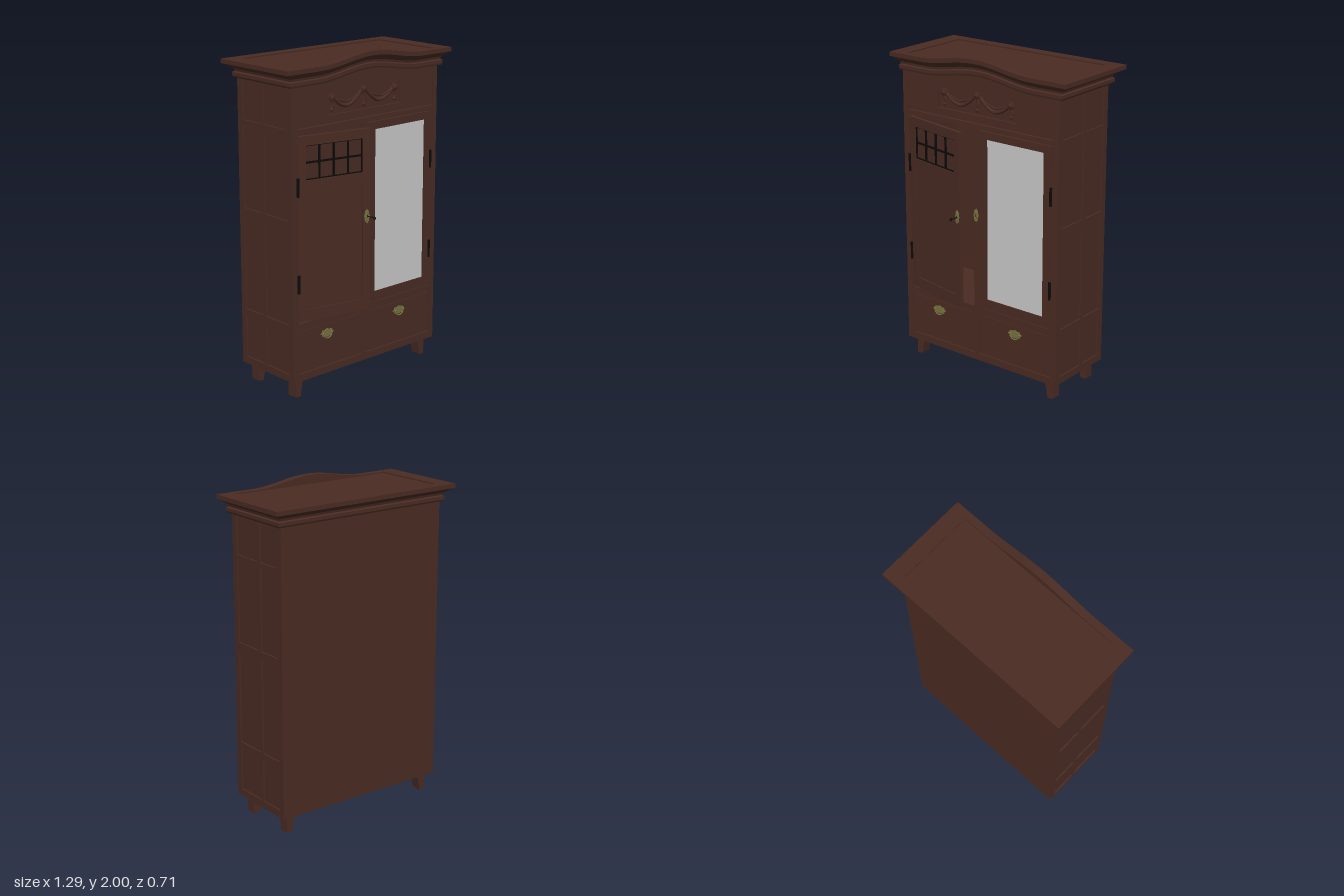
import * as THREE from 'three';

const mat = (name, color, side = THREE.FrontSide) => {
  const m = new THREE.MeshStandardMaterial({ color, side });
  m.name = name;
  return m;
};

export function createModel() {
  const wood = mat('dark wood', 0x4a2c23);
  const iron = mat('black iron', 0x0c0a09);
  const brass = mat('aged brass', 0x77723f);
  const glass = mat('mirror glass', 0xcbcbcb);
  const model = new THREE.Group();
  model.name = 'wardrobe';

  const add = (name, geo, m, parent = model) => {
    const mesh = new THREE.Mesh(geo, m);
    mesh.name = name;
    parent.add(mesh);
    return mesh;
  };
  // Box given by its limits on each axis
  const box = (name, x0, x1, y0, y1, z0, z1, m = wood, parent = model) => {
    const mesh = add(name, new THREE.BoxGeometry(x1 - x0, y1 - y0, z1 - z0), m, parent);
    mesh.position.set((x0 + x1) / 2, (y0 + y1) / 2, (z0 + z1) / 2);
    return mesh;
  };
  // Flat board with rectangular holes; rectangles are [x0, x1, y0, y1]
  const trace = (path, [x0, x1, y0, y1]) => {
    path.moveTo(x0, y0);
    path.lineTo(x1, y0);
    path.lineTo(x1, y1);
    path.lineTo(x0, y1);
    path.closePath();
    return path;
  };
  const board = (outer, holes, depth) => {
    const s = trace(new THREE.Shape(), outer);
    holes.forEach(h => s.holes.push(trace(new THREE.Path(), h)));
    return new THREE.ExtrudeGeometry(s, { depth, bevelEnabled: false });
  };

  // Carcass
  const L = -0.585, R = 0.567;
  box('backPanel', L, R, 0.11, 1.93, -0.285, -0.27);
  box('floor', L, R, 0.11, 0.13, -0.284, 0.165);
  box('drawerCase', L + 0.02, R - 0.02, 0.12, 0.455, -0.28, 0.17);
  box('friezeCase', L + 0.02, R - 0.02, 1.59, 1.945, -0.28, 0.172);
  const openings = [
    [-0.54, -0.045, 0.155, 0.42], [-0.01, 0.53, 0.155, 0.42],
    [-0.537, -0.045, 0.465, 1.58], [0, 0.52, 0.465, 1.58],
    [-0.54, 0.535, 1.61, 1.85],
  ];
  add('frontFrame', board([L, R, 0.11, 1.93], openings, 0.025), wood).position.z = 0.165;

  // Panelled sides
  const rows = [[0.155, 0.42], [0.46, 1.03], [1.085, 1.58], [1.61, 1.845]];
  const columns = [[-0.245, -0.08], [-0.055, 0.15]];
  for (const s of [-1, 1]) {
    const span = (a, b) => (s < 0 ? [a, b] : [-b, -a]);
    const holes = rows.flatMap(r => columns.map(c => [...span(...c), ...r]));
    const frame = add('sideFrame', board([...span(-0.285, 0.165), 0.11, 1.93], holes, 0.012), wood);
    frame.rotation.y = s * Math.PI / 2;
    const edge = s < 0 ? L : R;
    frame.position.x = edge - s * 0.012;
    const inner = edge - s * 0.03, outer = edge - s * 0.01;
    box('sidePanel', Math.min(inner, outer), Math.max(inner, outer), 0.112, 1.93, -0.28, 0.166);
  }

  // Tapered legs, straight on the outside
  for (const s of [-1, 1]) for (const z of [0.1225, -0.22]) {
    const g = new THREE.BoxGeometry(0.058, 0.115, 0.067);
    const p = g.attributes.position;
    for (let i = 0; i < p.count; i++)
      if (p.getY(i) < 0 && p.getX(i) * s < 0) p.setX(i, p.getX(i) + s * 0.022);
    g.computeVertexNormals();
    add('leg', g, wood).position.set(-0.01 + s * 0.503, 0.0575, z);
  }

  // Cornice: one moulding profile [outward, y] run round four sides, arched at the front
  const profile = [[0, 1.85], [0.02, 1.85], [0.025, 1.86], [0.025, 1.88], [0.014, 1.886], [0.018, 1.9],
    [0.032, 1.908], [0.05, 1.92], [0.06, 1.928], [0.07, 1.93], [0.07, 1.956], [-0.03, 1.956], [-0.03, 1.85]];
  const corner = (k, o) => {
    const out = Math.max(o, 0);
    return [(k % 4 === 1 || k % 4 === 2 ? 1 : -1) * (0.573 + o) - 0.003,
      k % 4 < 2 ? 0.19 + out * 0.65 : -0.285 - out];
  };
  const arch = x => (Math.abs(x) < 0.4 ? 0.0225 * (1 + Math.cos(Math.PI * x / 0.4)) : 0);
  for (let k = 0; k < 4; k++) {
    const n = k === 0 ? 48 : 1, pos = [], idx = [], m = profile.length;
    for (let i = 0; i <= n; i++) for (const [o, y] of profile) {
      const a = corner(k, o), b = corner(k + 1, o), t = i / n;
      const x = a[0] + (b[0] - a[0]) * t;
      pos.push(x, y + (k === 0 ? arch(x) : 0), a[1] + (b[1] - a[1]) * t);
    }
    for (let i = 0; i < n; i++) for (let j = 0; j < m - 1; j++) {
      const a = i * m + j, b = a + m;
      idx.push(a, b, b + 1, a, b + 1, a + 1);
    }
    let g = new THREE.BufferGeometry();
    g.setAttribute('position', new THREE.Float32BufferAttribute(pos, 3));
    g.setIndex(idx);
    g = g.toNonIndexed();
    g.computeVertexNormals();
    add(['frontCornice', 'leftCornice', 'backCornice', 'rightCornice'][k], g, wood);
  }
  box('topPanel', -0.56, 0.55, 1.93, 1.948, -0.284, 0.189);

  // Frieze with a sunk field and carved garland
  add('friezeBoard', board([-0.536, 0.531, 1.614, 1.85], [[-0.315, 0.265, 1.66, 1.81]], 0.02), wood).position.z = 0.165;
  const garland = new THREE.Group();
  garland.name = 'garland';
  garland.position.z = 0.174;
  model.add(garland);
  const knots = [-0.272, -0.025, 0.222];
  const tube = (name, pts, r) => add(name, new THREE.TubeGeometry(
    new THREE.CatmullRomCurve3(pts.map(p => new THREE.Vector3(p[0], p[1], 0))), 24, r, 8), wood, garland);
  knots.forEach((x, i) => {
    const y = i === 1 ? 1.778 : 1.758;
    add('rosette', new THREE.SphereGeometry(0.021, 16, 10), wood, garland).position.set(x, y, 0);
    add('rosetteRim', new THREE.TorusGeometry(0.019, 0.005, 6, 20), wood, garland).position.set(x, y, 0.008);
    tube('tassel', [[x, y - 0.02], [x + 0.006, y - 0.045], [x, 1.69]], 0.008);
    add('tasselEnd', new THREE.SphereGeometry(0.012, 12, 8), wood, garland).position.set(x, 1.688, 0);
  });
  for (const s of [-1, 1]) {
    const X = d => -0.025 + s * d;
    tube('swag', [[X(0.02), 1.77], [X(0.06), 1.73], [X(0.12), 1.698], [X(0.18), 1.712], [X(0.235), 1.755]], 0.011);
    tube('ribbon', [[X(0.02), 1.765], [X(0.08), 1.735], [X(0.14), 1.722], [X(0.23), 1.75]], 0.005);
  }

  // Scalloped brass plate
  const plate = (rx, ry, lobes) => {
    const pts = [];
    for (let i = 0; i < 48; i++) {
      const a = i / 48 * Math.PI * 2, r = 0.92 + 0.08 * Math.cos(a * lobes);
      pts.push(new THREE.Vector2(rx * r * Math.cos(a), ry * r * Math.sin(a)));
    }
    return new THREE.ExtrudeGeometry(new THREE.Shape(pts), { depth: 0.005, bevelEnabled: false });
  };
  const escutcheon = (x, y, z, parent) => {
    const g = new THREE.Group();
    g.name = 'escutcheon';
    g.position.set(x, y, z);
    parent.add(g);
    add('keyPlate', plate(0.018, 0.043, 8), brass, g);
    const rim = add('keyPlateRim', new THREE.TorusGeometry(0.01, 0.003, 6, 20), brass, g);
    rim.scale.y = 2.2;
    rim.position.z = 0.005;
    box('keyhole', -0.003, 0.003, -0.01, 0.008, 0.004, 0.006, iron, g);
  };

  // Drawers with bail pulls
  for (const [x0, x1, px] of [[-0.536, -0.049, -0.325], [-0.006, 0.526, 0.265]]) {
    box('drawerFront', x0, x1, 0.159, 0.416, 0.165, 0.187);
    const pull = new THREE.Group();
    pull.name = 'drawerPull';
    pull.position.set(px, 0.362, 0.187);
    model.add(pull);
    add('pullPlate', plate(0.05, 0.026, 8), brass, pull);
    const bail = add('bail', new THREE.TorusGeometry(0.033, 0.004, 8, 20, Math.PI), brass, pull);
    bail.rotation.z = Math.PI;
    bail.scale.y = 0.95;
    bail.position.z = 0.009;
    for (const s of [-1, 1])
      add('bailKnob', new THREE.SphereGeometry(0.007, 10, 8), brass, pull).position.set(s * 0.033, 0, 0.007);
  }

  // Closed door with mirror
  add('mirrorDoor', board([0.004, 0.516, 0.469, 1.576], [[0.055, 0.465, 0.53, 1.53]], 0.026), wood).position.z = 0.166;
  box('mirrorBacking', 0.04, 0.48, 0.515, 1.545, 0.16, 0.178);
  box('mirror', 0.055, 0.465, 0.53, 1.53, 0.177, 0.185, glass);
  escutcheon(-0.025, 1.05, 0.19, model);

  // Door standing ajar, swung about its hinge edge
  const door = new THREE.Group();
  door.name = 'openDoor';
  door.position.set(-0.535, 0, 0.166);
  door.rotation.y = -0.2;
  model.add(door);
  const win = [0.052, 0.428, 1.315, 1.515], field = [0.052, 0.428, 0.545, 1.27];
  add('doorFrame', board([0, 0.474, 0.475, 1.57], [win, field], 0.025), wood, door);
  box('doorPanel', 0.04, 0.44, 0.53, 1.285, 0.005, 0.017, wood, door);
  for (let i = 0; i <= 4; i++) {
    const x = win[0] + (win[1] - win[0]) * i / 4;
    box('grilleUpright', x - 0.005, x + 0.005, win[2], win[3], 0.008, 0.018, iron, door);
  }
  for (let i = 0; i <= 2; i++) {
    const y = win[2] + (win[3] - win[2]) * i / 2;
    box('grilleBar', win[0], win[1], y - 0.005, y + 0.005, 0.008, 0.018, iron, door);
  }
  escutcheon(0.454, 1.05, 0.025, door);

  // Key in the open door
  const shaft = add('keyShaft', new THREE.CylinderGeometry(0.003, 0.003, 0.06, 8), iron);
  shaft.rotation.x = Math.PI / 2;
  shaft.position.set(-0.093, 1.05, 0.308);
  const bow = add('keyBow', new THREE.TorusGeometry(0.008, 0.0025, 6, 18), iron);
  bow.rotation.y = Math.PI / 2;
  bow.position.set(-0.093, 1.05, 0.344);

  // Hinges
  for (const x of [-0.541, 0.517]) for (const y of [0.707, 1.28])
    add('hinge', new THREE.CylinderGeometry(0.009, 0.009, 0.11, 12), iron).position.set(x, y, 0.191);

  return model;
}
